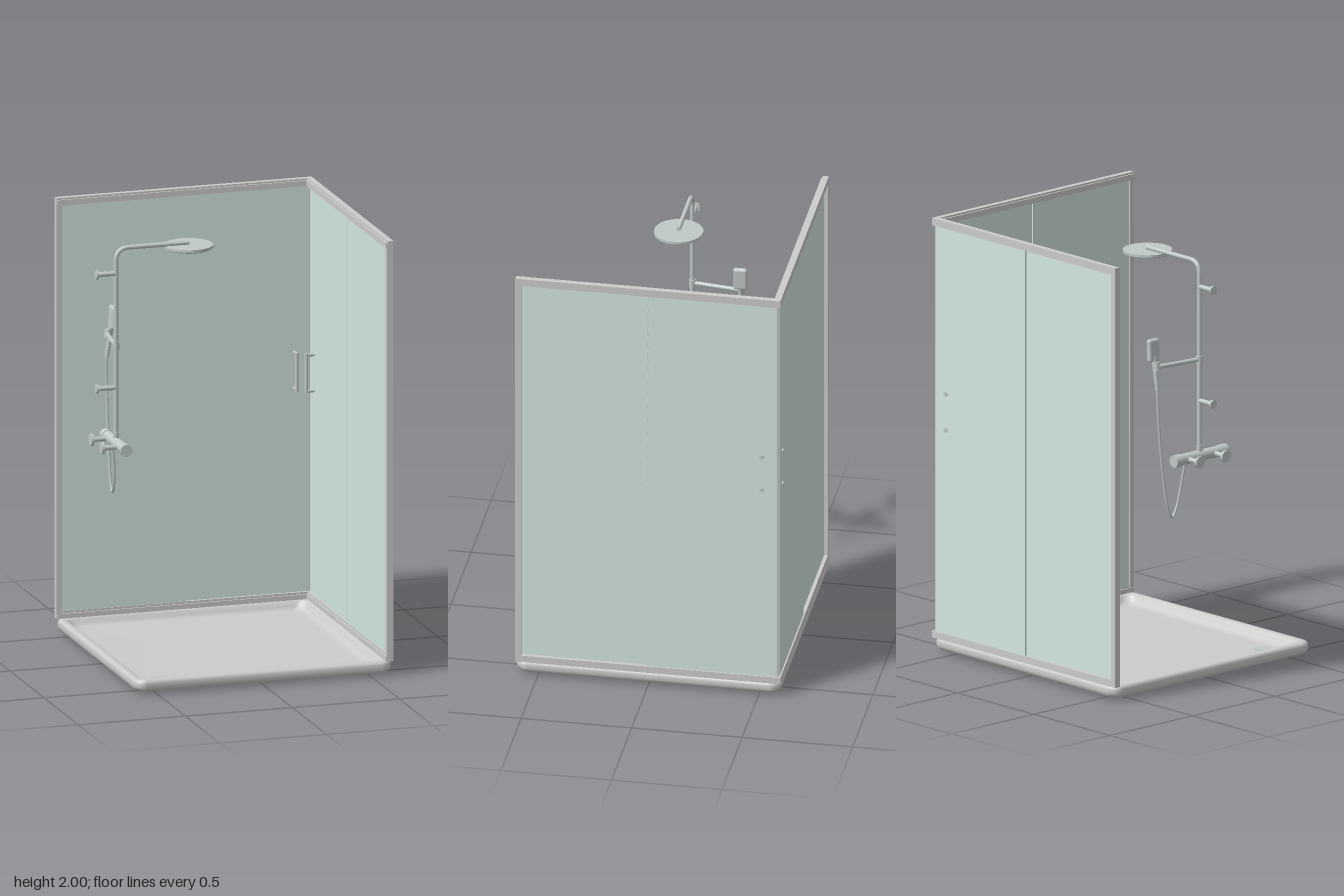
import * as THREE from 'three';
import { RoundedBoxGeometry } from 'three/addons/geometries/RoundedBoxGeometry.js';

const grey = new THREE.MeshStandardMaterial({ color: 0xcccccc });
const glass = new THREE.MeshStandardMaterial({ color: 0xd3e6e2 });
const chrome = new THREE.MeshStandardMaterial({ color: 0xc0c8c8 });
const V = (x, y, z) => new THREE.Vector3(x, y, z);

function add(parent, name, geometry, material, x = 0, y = 0, z = 0) {
  const mesh = new THREE.Mesh(geometry, material);
  mesh.name = name;
  mesh.position.set(x, y, z);
  parent.add(mesh);
  return mesh;
}

// Cylinder from point a to point b
function rod(parent, name, a, b, r0, r1 = r0, material = chrome) {
  const dir = b.clone().sub(a);
  const mesh = add(parent, name, new THREE.CylinderGeometry(r1, r0, dir.length(), 24), material);
  mesh.position.copy(a).addScaledVector(dir, 0.5);
  mesh.quaternion.setFromUnitVectors(V(0, 1, 0), dir.normalize());
  return mesh;
}

// Stack of rounded squares: each ring is [half size, corner radius, height]
function trayGeometry(rings) {
  const steps = 8, n = 4 * (steps + 1), pos = [], index = [];
  for (const [h, r, y] of rings) {
    for (let c = 0; c < 4; c++) {
      const mid = Math.PI / 4 + c * Math.PI / 2;
      const cx = Math.sign(Math.cos(mid)) * (h - r), cz = -Math.sign(Math.sin(mid)) * (h - r);
      for (let k = 0; k <= steps; k++) {
        const t = (c + k / steps) * Math.PI / 2;
        pos.push(cx + r * Math.cos(t), y, cz - r * Math.sin(t));
      }
    }
  }
  for (let i = 0; i < rings.length - 1; i++) {
    for (let j = 0; j < n; j++) {
      const a = i * n + j, b = i * n + (j + 1) % n;
      index.push(a, b, a + n, b, b + n, a + n);
    }
  }
  const g = new THREE.BufferGeometry();
  g.setAttribute('position', new THREE.Float32BufferAttribute(pos, 3));
  g.setIndex(index);
  g.computeVertexNormals();
  return g;
}

// Shower tray with rolled rim, recessed floor and round drain
function buildTray() {
  const tray = new THREE.Group();
  tray.name = 'tray';
  add(tray, 'basin', trayGeometry([
    [0.001, 0.0005, 0], [0.5, 0.04, 0.006], [0.57, 0.04, 0.01], [0.585, 0.045, 0.014],
    [0.596, 0.05, 0.024], [0.6, 0.05, 0.036], [0.6, 0.05, 0.052], [0.597, 0.05, 0.061],
    [0.59, 0.045, 0.067], [0.58, 0.042, 0.068], [0.566, 0.04, 0.067], [0.558, 0.04, 0.06],
    [0.549, 0.045, 0.043], [0.54, 0.045, 0.033], [0.525, 0.045, 0.027], [0.5, 0.04, 0.025],
    [0.001, 0.0005, 0.024],
  ]), grey);
  add(tray, 'drainCover', new THREE.CylinderGeometry(0.036, 0.038, 0.012, 40), chrome, -0.445, 0.028, 0.44);
  return tray;
}

// One framed wall with two sliding panels; s = -1 mirrors it along its length
function buildWall(name, s) {
  const wall = new THREE.Group();
  wall.name = name;
  const box = (part, w, h, d, x, y, z, m = grey) =>
    add(wall, part, new THREE.BoxGeometry(w, h, d), m, s * x, y, z);

  // Rails with a shallow inner lip
  box('topRail', 1.2, 0.034, 0.026, 0, 1.983, -0.587);
  box('topRailLip', 1.195, 0.026, 0.008, 0, 1.979, -0.571);
  box('bottomRail', 1.2, 0.032, 0.026, 0, 0.083, -0.587);
  box('bottomRailLip', 1.195, 0.022, 0.008, 0, 0.078, -0.571);
  // Posts
  box('endPost', 0.026, 1.9, 0.03, -0.587, 1.03, -0.585);
  box('cornerSeal', 0.01, 1.87, 0.01, 0.585, 1.03, -0.585);

  // Glass
  box('fixedPanel', 0.585, 1.87, 0.007, -0.286, 1.03, -0.58, glass);
  box('slidingPanel', 0.585, 1.87, 0.007, 0.288, 1.03, -0.59, glass);
  box('panelSeal', 0.006, 1.87, 0.017, 0.001, 1.03, -0.585);

  // Door handle with bolts through the glass
  rod(wall, 'handleBar', V(s * 0.515, 1.03, -0.549), V(s * 0.515, 1.21, -0.549), 0.008);
  for (const y of [1.037, 1.203]) {
    rod(wall, 'handleBolt', V(s * 0.515, y, -0.549), V(s * 0.515, y, -0.598), 0.007);
    rod(wall, 'handleCap', V(s * 0.515, y, -0.593), V(s * 0.515, y, -0.599), 0.01);
  }
  return wall;
}

function buildShower() {
  const shower = new THREE.Group();
  shower.name = 'shower';
  const px = -0.505;

  // Riser pipe bending into the overhead arm
  const path = new THREE.CurvePath();
  path.add(new THREE.LineCurve3(V(px, 1.01, 0), V(px, 1.845, 0)));
  path.add(new THREE.QuadraticBezierCurve3(V(px, 1.845, 0), V(px, 1.905, 0), V(px + 0.06, 1.905, 0)));
  path.add(new THREE.LineCurve3(V(px + 0.06, 1.905, 0), V(-0.165, 1.905, 0)));
  add(shower, 'riserPipe', new THREE.TubeGeometry(path, 120, 0.0105, 16), chrome);
  rod(shower, 'armEnd', V(-0.17, 1.905, 0), V(-0.164, 1.905, 0), 0.0105);

  // Overhead rain head
  add(shower, 'rainHead', new THREE.CylinderGeometry(0.11, 0.11, 0.012, 64), chrome, -0.165, 1.891, 0);
  add(shower, 'sprayPlate', new THREE.CylinderGeometry(0.104, 0.1, 0.007, 64), chrome, -0.165, 1.882, 0);

  // Wall brackets and mixer inlets
  const mount = (name, y, z, r) => {
    rod(shower, name + 'Flange', V(-0.6, y, z), V(-0.589, y, z), r);
    rod(shower, name, V(-0.592, y, z), V(px, y, z), 0.011);
  };
  mount('bracket', 1.79, 0, 0.02);
  mount('bracket', 1.265, 0, 0.02);
  for (const z of [-0.08, 0.078]) mount('inlet', 1.012, z, 0.027);

  // Mixer body with a knob at each end
  rod(shower, 'mixerBody', V(px, 1.012, -0.12), V(px, 1.012, 0.12), 0.025);
  for (const e of [-1, 1]) {
    rod(shower, 'mixerKnob', V(px, 1.012, e * 0.118), V(px, 1.012, e * 0.157), 0.0275);
  }
  rod(shower, 'riserCollar', V(px, 1.025, 0), V(px, 1.06, 0), 0.014);

  // Holder arm on the riser
  rod(shower, 'holderCollar', V(px, 1.438, 0), V(px, 1.472, 0), 0.015);
  rod(shower, 'holderArm', V(px, 1.455, 0), V(-0.474, 1.455, -0.235), 0.01);
  rod(shower, 'holderClip', V(-0.472, 1.435, -0.228), V(-0.466, 1.475, -0.228), 0.016);

  // Hand shower
  rod(shower, 'handsetHandle', V(-0.476, 1.345, -0.228), V(-0.452, 1.5, -0.228), 0.009, 0.013);
  const head = add(shower, 'handsetHead', new RoundedBoxGeometry(0.026, 0.106, 0.064, 4, 0.012), chrome, -0.448, 1.527, -0.228);
  head.rotation.z = -0.04;

  // Hanging hose
  const hose = new THREE.CatmullRomCurve3([
    V(-0.476, 1.35, -0.228), V(-0.477, 1.2, -0.222), V(-0.477, 0.95, -0.195), V(-0.477, 0.79, -0.165),
    V(-0.477, 0.748, -0.14), V(-0.478, 0.785, -0.115), V(-0.485, 0.9, -0.09), V(px + 0.005, 1.0, -0.08),
  ]);
  add(shower, 'hose', new THREE.TubeGeometry(hose, 90, 0.006, 12), chrome);
  return shower;
}

export function createModel() {
  const model = new THREE.Group();
  model.name = 'showerEnclosure';
  model.add(buildTray(), buildWall('backWall', 1), buildShower());
  const side = buildWall('sideWall', -1);
  side.rotation.y = -Math.PI / 2;
  model.add(side);
  return model;
}
